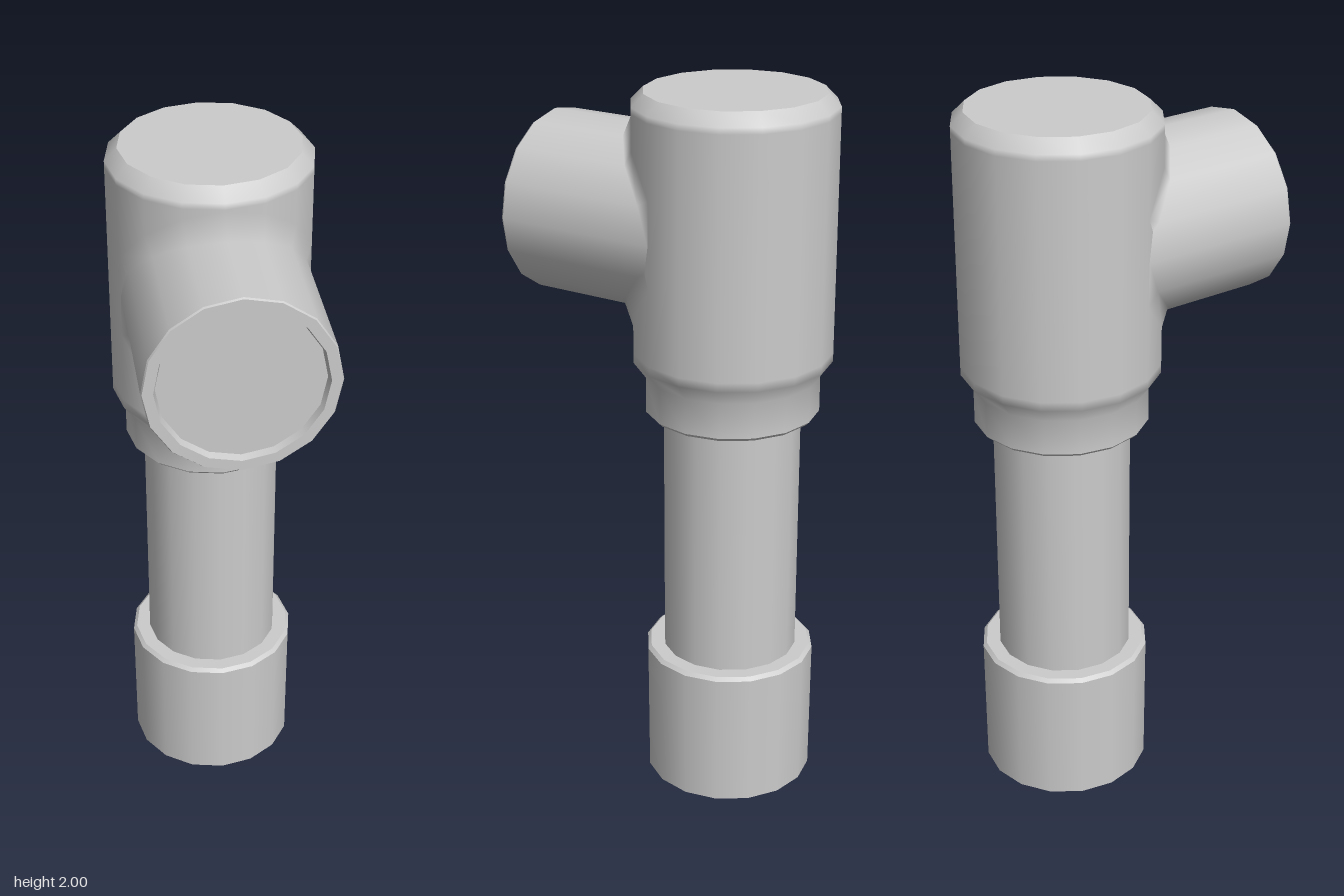
import * as THREE from 'three';
import { mergeGeometries } from 'three/addons/utils/BufferGeometryUtils.js';

const SIDES = 16;
const AXIS_Z = -0.152;   // upright axis
const SPOUT_Y = 1.63;    // height of the side outlet
const BODY_R = 0.273;
const SPOUT_R = 0.25;

const material = new THREE.MeshStandardMaterial({ color: 0xcccccc });

// Each section is a smooth run of [radius, height]; edges between sections stay sharp
function turned(name, sections) {
  const parts = sections.map((section) =>
    new THREE.LatheGeometry(section.map(([r, y]) => new THREE.Vector2(r, y)), SIDES));
  const mesh = new THREE.Mesh(mergeGeometries(parts), material);
  mesh.name = name;
  return mesh;
}

// Flared fillet that blends the outlet into the body: body ring to outlet ring
function flareGeometry() {
  const pos = [], nor = [], index = [];
  for (let i = 0; i <= SIDES; i++) {
    const t = (i / SIDES) * Math.PI * 2;
    const c = Math.cos(t), s = Math.sin(t);
    // ring on the body surface
    pos.push(BODY_R * c, SPOUT_Y + 0.315 * s, AXIS_Z + BODY_R * Math.abs(s));
    nor.push(c, 0, Math.abs(s));
    // ring on the outlet, lifted off the body at top and bottom
    const x = SPOUT_R * c;
    const z = AXIS_Z + Math.sqrt(BODY_R ** 2 - x * x) + 0.034 * s * s;
    pos.push(x, SPOUT_Y + SPOUT_R * s, z);
    nor.push(c, s, 0);
    if (i < SIDES) {
      const a = i * 2;
      index.push(a, a + 2, a + 1, a + 2, a + 3, a + 1);
    }
  }
  const g = new THREE.BufferGeometry();
  g.setAttribute('position', new THREE.Float32BufferAttribute(pos, 3));
  g.setAttribute('normal', new THREE.Float32BufferAttribute(nor, 3));
  g.setIndex(index);
  return g;
}

export function createModel() {
  const model = new THREE.Group();
  model.name = 'pipeTee';

  const column = new THREE.Group();
  column.name = 'column';
  column.position.z = AXIS_Z;
  model.add(column);

  // Foot socket with a shallow recess underneath
  column.add(turned('footSocket', [
    [[0, 0.04], [0.173, 0.04]],
    [[0.173, 0.04], [0.173, 0]],
    [[0.173, 0], [0.238, 0]],
    [[0.238, 0], [0.24, 0.39]],
    [[0.24, 0.39], [0.23, 0.4]],
    [[0.23, 0.4], [0.18, 0.4]],
  ]));

  column.add(turned('shaft', [[[0.19, 0.38], [0.19, 1.14]]]));

  // Collar, body and chamfered cap
  column.add(turned('body', [
    [[0.18, 1.12], [0.23, 1.12]],
    [[0.23, 1.12], [0.24, 1.13]],
    [[0.24, 1.13], [0.24, 1.23], [BODY_R, 1.275], [BODY_R, 1.3]],
    [[BODY_R, 1.3], [BODY_R, 1.95]],
    [[BODY_R, 1.95], [BODY_R, 1.967], [0.24, 2]],
    [[0.24, 2], [0, 2]],
  ]));

  // Side outlet with a rim around a shallow recessed face
  const outlet = turned('outlet', [
    [[SPOUT_R, -0.14], [SPOUT_R, 0.42]],
    [[SPOUT_R, 0.42], [0.247, 0.425]],
    [[0.247, 0.425], [0.219, 0.425]],
    [[0.219, 0.425], [0.213, 0.405]],
    [[0.213, 0.405], [0, 0.405]],
  ]);
  outlet.rotation.x = Math.PI / 2;
  outlet.position.y = SPOUT_Y;
  model.add(outlet);

  const flare = new THREE.Mesh(flareGeometry(), material);
  flare.name = 'outletFlare';
  model.add(flare);

  return model;
}
